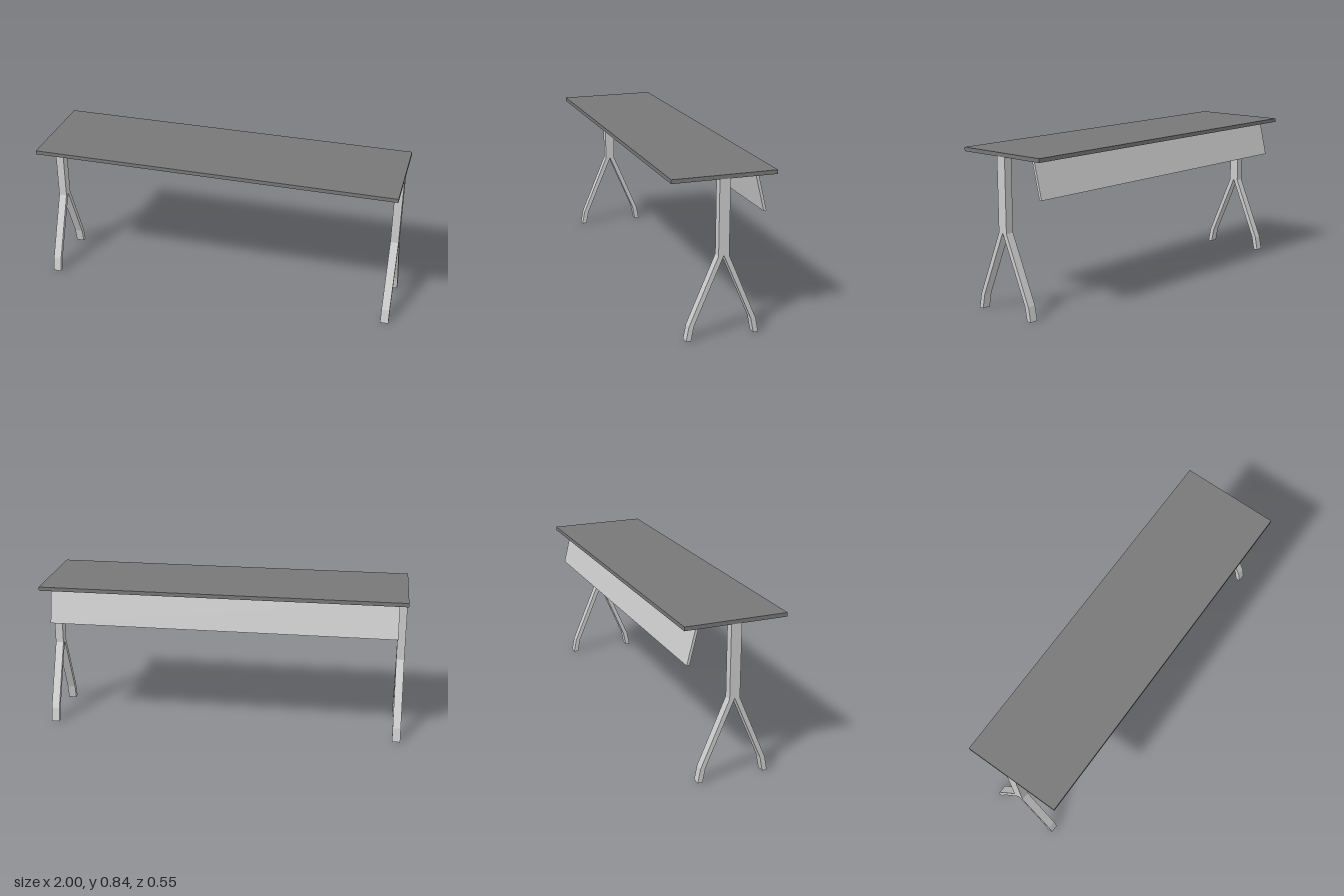
import * as THREE from 'three';

const grey = new THREE.MeshStandardMaterial({ color: 0xcccccc });
const dark = new THREE.MeshStandardMaterial({ color: 0x777777 });

const HALF_LENGTH = 1;
const LEG_WIDTH = 0.045;
const TOP_UNDERSIDE = 0.817;
const TOP_THICKNESS = 0.021;

// Extrudes a side profile of [z, y] points along x, centred on x = 0
function extrudeAlongX(points, width) {
  const shape = new THREE.Shape(points.map(([z, y]) => new THREE.Vector2(z, y)));
  const geometry = new THREE.ExtrudeGeometry(shape, { depth: width, bevelEnabled: false });
  return geometry.translate(0, 0, -width / 2).rotateY(-Math.PI / 2);
}

function addMesh(group, name, geometry, material) {
  const mesh = new THREE.Mesh(geometry, material);
  mesh.name = name;
  group.add(mesh);
  return mesh;
}

export function createModel() {
  const table = new THREE.Group();
  table.name = 'table';

  // Tabletop slab
  const top = addMesh(table, 'tabletop', new THREE.BoxGeometry(2 * HALF_LENGTH, TOP_THICKNESS, 0.548), dark);
  top.position.y = TOP_UNDERSIDE + TOP_THICKNESS / 2;

  // Forked leg: half profile from the crotch down the inside, up the outside
  const half = [[0.152, 0.077], [0.167, 0], [0.193, 0], [0.178, 0.077], [0.028, 0.428], [0.028, TOP_UNDERSIDE]];
  const mirrored = half.map(([z, y]) => [-z, y]).reverse();
  const legGeometry = extrudeAlongX([[0, 0.43], ...half, ...mirrored], LEG_WIDTH);
  for (const [name, side] of [['leftLeg', 1], ['rightLeg', -1]]) {
    const leg = addMesh(table, name, legGeometry, grey);
    leg.position.x = side * (HALF_LENGTH - LEG_WIDTH / 2);
  }

  // Slanted modesty panel under the back edge
  const panelProfile = [[-0.177, TOP_UNDERSIDE], [-0.192, TOP_UNDERSIDE], [-0.24, 0.62], [-0.225, 0.62]];
  addMesh(table, 'modestyPanel', extrudeAlongX(panelProfile, 2 * (HALF_LENGTH - LEG_WIDTH)), grey);

  return table;
}
